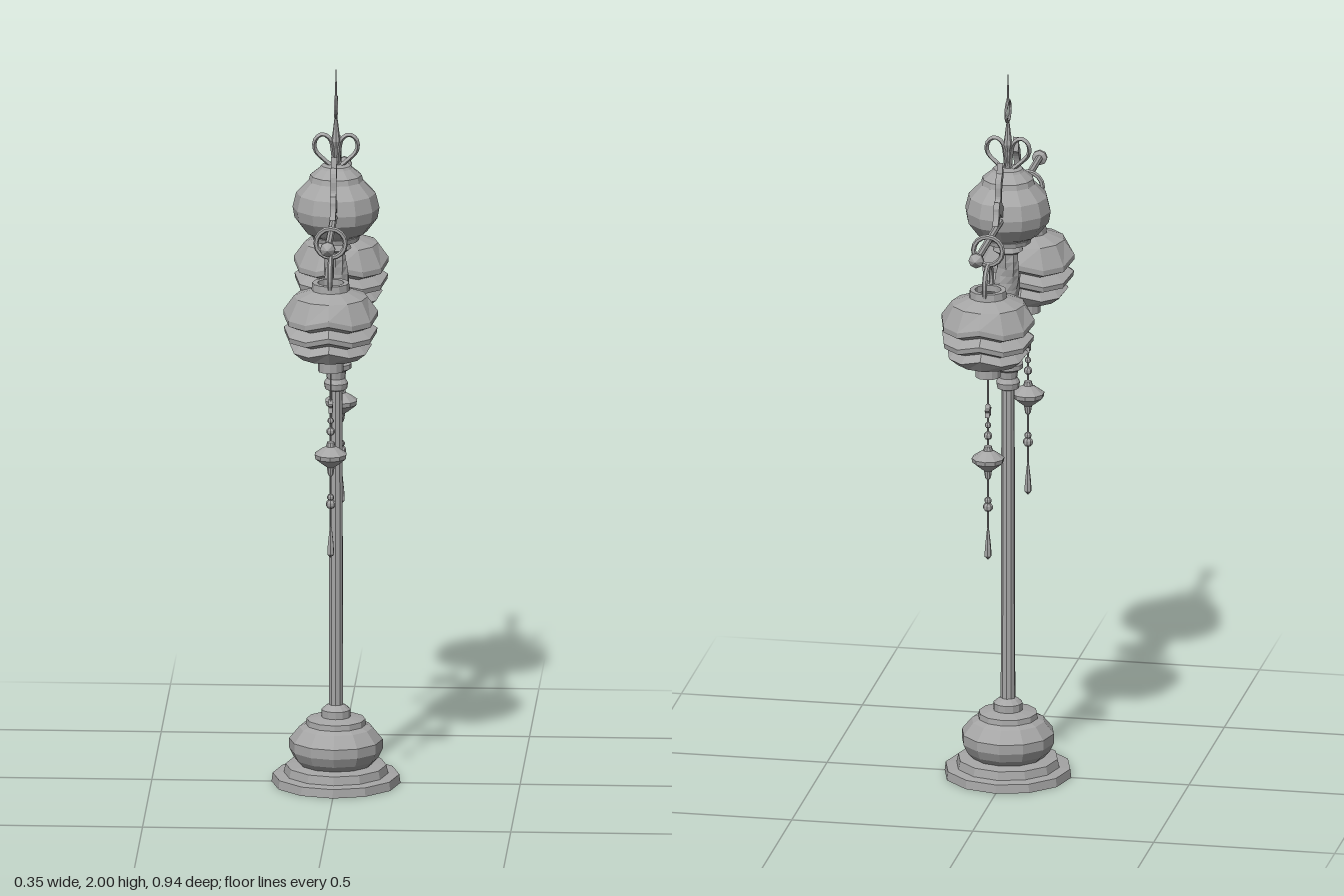
import * as THREE from 'three';

const stone = new THREE.MeshStandardMaterial({ color: 0xa6a6a6, flatShading: true, side: THREE.DoubleSide });
stone.name = 'grey stone';

function add(parent, name, geometry, x = 0, y = 0, z = 0) {
  const mesh = new THREE.Mesh(geometry, stone);
  mesh.name = name;
  mesh.position.set(x, y, z);
  parent.add(mesh);
  return mesh;
}

// Turned part from [radius, height] pairs
const turned = (points, sides = 12) =>
  new THREE.LatheGeometry(points.map(([r, y]) => new THREE.Vector2(r, y)), sides);

// Tube through [x, y, z] points
const tube = (points, radius, steps = 20, sides = 6) =>
  new THREE.TubeGeometry(new THREE.CatmullRomCurve3(points.map(p => new THREE.Vector3(...p))), steps, radius, sides);

// Lantern body with rippled, overlapping tiers
function lanternBody() {
  const geo = turned([
    [0.036, 1.46], [0.036, 1.478], [0.05, 1.478], [0.052, 1.458], [0.1, 1.44], [0.128, 1.39],
    [0.128, 1.375], [0.1, 1.362], [0.127, 1.342], [0.125, 1.328], [0.094, 1.316], [0.112, 1.296],
    [0.085, 1.27], [0.035, 1.268], [0.035, 1.23], [0.022, 1.23], [0.022, 1.268], [0, 1.268],
  ], 12);
  const p = geo.attributes.position;
  for (let i = 0; i < p.count; i++) {
    const y = p.getY(i), r = Math.hypot(p.getX(i), p.getZ(i));
    if (y > 1.29 && y < 1.4) {
      const a = Math.atan2(p.getX(i), p.getZ(i));
      p.setY(i, y + 0.011 * Math.cos(4 * a) * (r / 0.128));
    }
  }
  return geo;
}

// Lantern with its hanger and beaded tassel
function lantern(z) {
  const g = new THREE.Group();
  g.name = 'lantern';
  g.position.z = z;
  add(g, 'lanternBody', lanternBody());
  add(g, 'lanternHandle', tube([[0, 1.46, -0.042], [0, 1.495, -0.05], [0, 1.53, -0.036], [0, 1.546, 0],
    [0, 1.53, 0.036], [0, 1.495, 0.05], [0, 1.46, 0.042]], 0.007));
  add(g, 'hangingRing', new THREE.TorusGeometry(0.04, 0.007, 6, 16), 0, 1.588, 0);
  add(g, 'tasselString', new THREE.CylinderGeometry(0.0025, 0.0025, 0.5, 5), 0, 1.02, 0);

  // Star charm
  const star = new THREE.Shape();
  for (let i = 0; i < 10; i++) {
    const a = i * Math.PI / 5, r = i % 2 ? 0.009 : 0.02;
    star[i ? 'lineTo' : 'moveTo'](Math.sin(a) * r, Math.cos(a) * r);
  }
  const charm = new THREE.ExtrudeGeometry(star, { depth: 0.012, bevelEnabled: false });
  charm.translate(0, 0, -0.006).rotateY(Math.PI / 2);
  add(g, 'starCharm', charm, 0, 1.13, 0);

  for (const [y, r] of [[1.09, 0.009], [1.06, 0.012], [0.875, 0.01], [0.856, 0.014]])
    add(g, 'smallBead', new THREE.SphereGeometry(r, 8, 5), 0, y, 0);
  add(g, 'largeBead', turned([[0, 0.93], [0.008, 0.94], [0.011, 0.96], [0.022, 0.968], [0.043, 0.985],
    [0.045, 0.997], [0.024, 1.012], [0.013, 1.018], [0.01, 1.03], [0, 1.034]], 10));
  add(g, 'tasselEnd', turned([[0, 0.705], [0.01, 0.715], [0.009, 0.74], [0.004, 0.785], [0, 0.81]], 6));
  return g;
}

// Twisted column between the collar and the crown
function twistedColumn() {
  const geo = new THREE.CylinderGeometry(0.03, 0.03, 0.34, 10, 16, true);
  const p = geo.attributes.position;
  for (let i = 0; i < p.count; i++) {
    const y = p.getY(i), a = Math.atan2(p.getX(i), p.getZ(i));
    const k = 1 + 0.17 * Math.cos(2 * a + y * 42) + 0.07 * Math.cos(a - y * 30);
    p.setX(i, p.getX(i) * k);
    p.setZ(i, p.getZ(i) * k);
  }
  return geo;
}

// Flat scroll bracket standing on the bar, drawn with outward as +x
function scroll() {
  const s = new THREE.Shape();
  s.moveTo(0.095, 1.655);
  s.quadraticCurveTo(0.13, 1.66, 0.126, 1.7);
  s.quadraticCurveTo(0.122, 1.725, 0.103, 1.745);
  s.lineTo(0.113, 1.784);
  s.lineTo(0.12, 1.755);
  s.quadraticCurveTo(0.143, 1.745, 0.141, 1.705);
  s.quadraticCurveTo(0.14, 1.68, 0.158, 1.685);
  s.lineTo(0.166, 1.668);
  s.quadraticCurveTo(0.165, 1.65, 0.182, 1.625);
  s.lineTo(0.165, 1.615);
  s.quadraticCurveTo(0.15, 1.655, 0.14, 1.645);
  s.quadraticCurveTo(0.13, 1.63, 0.1, 1.625);
  const geo = new THREE.ExtrudeGeometry(s, { depth: 0.016, bevelEnabled: false, curveSegments: 5 });
  return geo.translate(0, 0, -0.008).rotateY(-Math.PI / 2);
}

export function createModel() {
  const root = new THREE.Group();
  root.name = 'lanternPost';

  // Hollow stepped foot and bulb
  add(root, 'base', turned([[0.165, 0], [0.175, 0], [0.172, 0.024], [0.142, 0.027], [0.137, 0.05], [0.1, 0.054],
    [0.115, 0.07], [0.127, 0.095], [0.127, 0.122], [0.1, 0.155], [0.082, 0.163], [0.08, 0.178], [0.04, 0.185],
    [0.04, 0.205], [0.028, 0.215], [0.018, 0.22]]));
  add(root, 'baseUnderside', turned([[0.165, 0], [0.14, 0.022], [0.11, 0.022], [0.1, 0.05], [0, 0.05]]));

  // Post, collar and twisted column
  add(root, 'pole', new THREE.CylinderGeometry(0.018, 0.02, 0.94, 10), 0, 0.67, 0);
  add(root, 'collar', turned([[0.018, 1.1], [0.03, 1.105], [0.033, 1.122], [0.025, 1.135], [0.028, 1.155],
    [0.042, 1.163], [0.042, 1.176], [0.03, 1.185], [0.026, 1.2]]));
  add(root, 'twistedColumn', twistedColumn(), 0, 1.345, 0);
  add(root, 'columnCap', turned([[0.028, 1.49], [0.042, 1.5], [0.036, 1.515], [0.062, 1.522], [0.065, 1.535], [0.05, 1.54]]));

  // Crown bulb with a small domed lid
  add(root, 'crown', turned([[0.05, 1.53], [0.085, 1.548], [0.113, 1.585], [0.118, 1.615], [0.108, 1.655],
    [0.074, 1.69], [0.07, 1.705], [0.045, 1.725], [0.04, 1.732], [0, 1.736]]));

  // Cross bar with end knobs, scrolls and lanterns
  const bar = add(root, 'crossBar', new THREE.CylinderGeometry(0.01, 0.01, 0.9, 8), 0, 1.615, 0);
  bar.rotation.x = Math.PI / 2;
  for (const side of [1, -1]) {
    const knob = add(root, 'barKnob', turned([[0.01, -0.012], [0.021, -0.006], [0.021, 0.003], [0.008, 0.014], [0, 0.02]], 8),
      0, 1.615, side * 0.45);
    knob.rotation.x = side * Math.PI / 2;
    const bracket = add(root, 'scrollBracket', scroll());
    bracket.rotation.y = side > 0 ? 0 : Math.PI;
    root.add(lantern(side * 0.283));

    // Ribbon loop beside the spire
    const loop = new THREE.CatmullRomCurve3([[0.006, 1.725], [0.03, 1.745], [0.057, 1.775], [0.055, 1.805],
      [0.036, 1.818], [0.016, 1.805], [0.008, 1.77], [0.005, 1.735]].map(([x, y]) => new THREE.Vector3(side * x, y, 0)));
    const ribbon = new THREE.TubeGeometry(loop, 20, 0.006, 4);
    ribbon.scale(1, 1, 1.9);
    add(root, 'ribbonLoop', ribbon);
  }

  // Spire, ring and needle
  add(root, 'spire', turned([[0.015, 1.73], [0.007, 1.75], [0.006, 1.78], [0.013, 1.8], [0.009, 1.825], [0.004, 1.865], [0, 1.87]], 8));
  const ring = add(root, 'spireRing', new THREE.TorusGeometry(0.029, 0.0045, 6, 16), 0, 1.895, 0);
  ring.rotation.y = Math.PI / 2;
  add(root, 'needle', new THREE.CylinderGeometry(0.001, 0.004, 0.08, 6), 0, 1.96, 0);

  return root;
}
